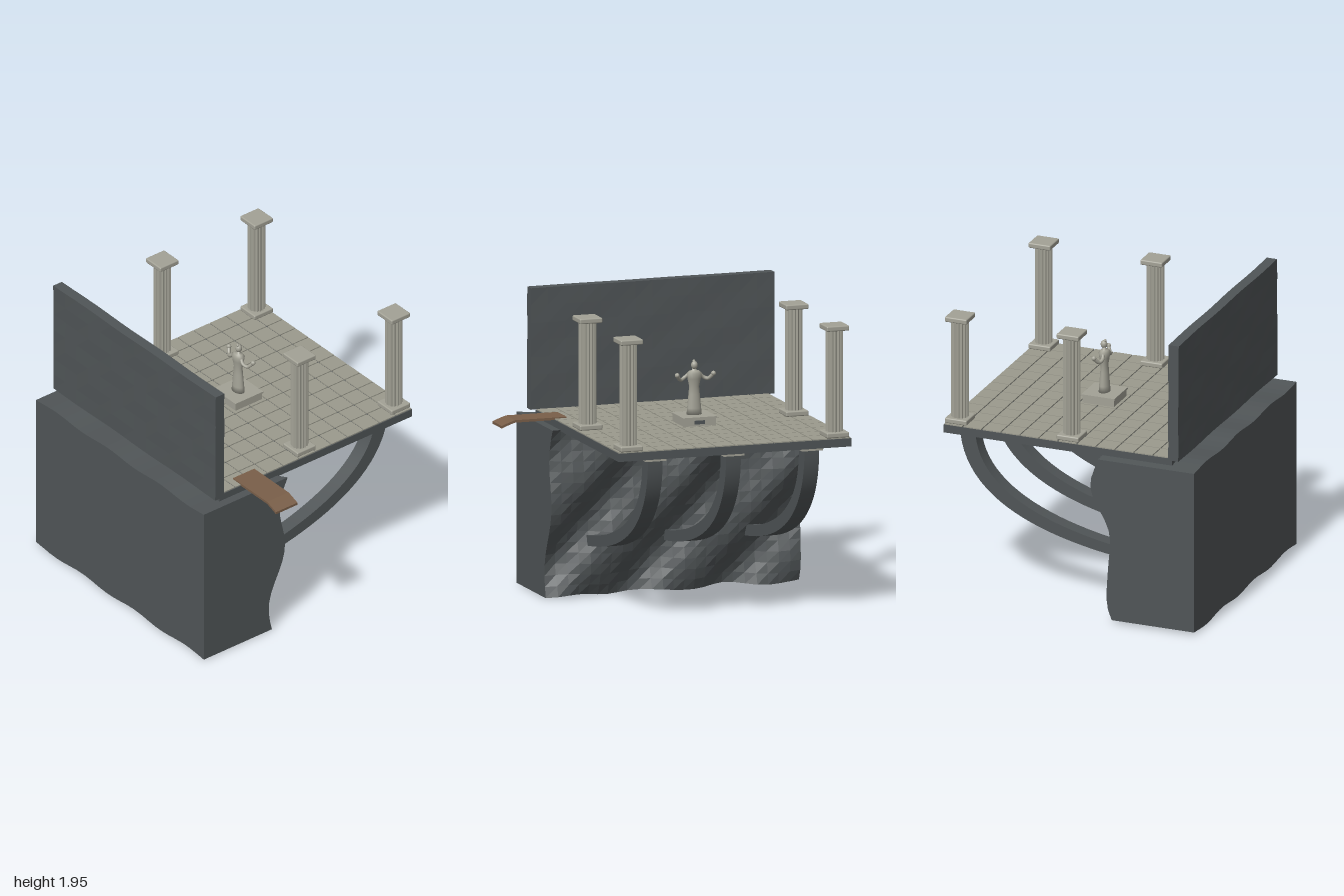
import * as THREE from 'three';
import { toCreasedNormals } from 'three/addons/utils/BufferGeometryUtils.js';
import { RoundedBoxGeometry } from 'three/addons/geometries/RoundedBoxGeometry.js';

const mat = (name, color) => {
  const m = new THREE.MeshStandardMaterial({ color });
  m.name = name;
  return m;
};

export function createModel() {
  const rock = mat('dark rock', 0x505557);
  const stone = mat('floor stone', 0x9b9a8d);
  const marble = mat('pale stone', 0xa3a296);
  const wood = mat('wood', 0x7a5f49);

  const model = new THREE.Group();
  model.name = 'cliffTerrace';

  const add = (parent, name, geometry, material, x = 0, y = 0, z = 0) => {
    const mesh = new THREE.Mesh(geometry, material);
    mesh.name = name;
    mesh.position.set(x, y, z);
    parent.add(mesh);
    return mesh;
  };
  const group = (name, x = 0, y = 0, z = 0) => {
    const g = new THREE.Group();
    g.name = name;
    g.position.set(x, y, z);
    model.add(g);
    return g;
  };
  // Box given by its limits
  const block = (parent, name, material, x0, x1, y0, y1, z0, z1) =>
    add(parent, name, new THREE.BoxGeometry(x1 - x0, y1 - y0, z1 - z0), material,
      (x0 + x1) / 2, (y0 + y1) / 2, (z0 + z1) / 2);
  // Move every vertex by a rule, then facet the surface
  const reshape = (geometry, rule) => {
    const p = geometry.attributes.position;
    const v = new THREE.Vector3();
    for (let i = 0; i < p.count; i++) {
      v.fromBufferAttribute(p, i);
      rule(v);
      p.setXYZ(i, v.x, v.y, v.z);
    }
    const flat = geometry.toNonIndexed();
    flat.computeVertexNormals();
    return flat;
  };

  // Cliff: flat front and sides, rippled top and bottom, craggy back
  const cliff = new THREE.BoxGeometry(1.71, 1.1, 0.6, 24, 16, 1);
  cliff.translate(-0.145, 0.55, 0.58);
  add(model, 'cliff', reshape(cliff, (v) => {
    const k = v.y / 1.1;
    const ripple = Math.cos(11.9 * v.x);
    if (v.z < 0.5) {
      const u = v.x - 0.71;
      v.z = 0.33 - 0.125 * v.y
        + 0.042 * Math.cos(8.7 * (v.y - 0.2) + 9 * u)
        + 0.014 * Math.sin(19 * u) * Math.cos(14 * v.y);
    }
    v.y = THREE.MathUtils.lerp(0.011 + 0.01 * ripple, 1.112 - 0.008 * ripple, k);
  }), rock);

  // Upright wall with a faintly uneven face
  const wall = new THREE.BoxGeometry(1.65, 0.79, 0.07, 14, 7, 1);
  wall.translate(-0.145, 1.555, 0.725);
  add(model, 'wall', reshape(wall, (v) => {
    v.z += 0.003 * Math.sin(9 * v.x + 7 * v.y) * Math.cos(11 * v.y);
  }), rock);

  // Terrace slab and its paving
  const x0 = -0.932, z0 = -0.877, step = 0.1313, gap = 0.004;
  block(model, 'slab', rock, x0, 0.645, 1.103, 1.156, z0, 0.7);
  const tiles = group('floorTiles');
  for (let i = 0; i < 12; i++) {
    for (let j = 0; j < 12; j++) {
      const x = x0 + i * step, z = z0 + j * step;
      block(tiles, 'tile', stone, x + gap, x + step - gap, 1.15, 1.163, z + gap, z + step - gap);
    }
  }

  // Fluted columns on square plinths
  const shaft = reshape(new THREE.CylinderGeometry(0.057, 0.057, 0.68, 64, 1, true), (v) => {
    const a = Math.atan2(v.z, v.x);
    const s = 1 - 0.13 * Math.abs(Math.cos(8 * a)) ** 1.5;
    v.x *= s;
    v.z *= s;
  });
  const plate = new RoundedBoxGeometry(0.152, 0.034, 0.152, 2, 0.008);
  for (const x of [-0.843, 0.553]) {
    for (const z of [-0.8, -0.028]) {
      const column = group('column', x, 1.163, z);
      add(column, 'base', plate, marble, 0, 0.017);
      add(column, 'shaft', shaft, marble, 0, 0.365);
      add(column, 'capital', plate, marble, 0, 0.709);
    }
  }

  // Curved struts between the cliff and the slab, thickening upwards
  const arc = new THREE.CubicBezierCurve(
    new THREE.Vector2(-0.36, 0.36), new THREE.Vector2(0.25, 0.43),
    new THREE.Vector2(0.8, 0.62), new THREE.Vector2(0.797, 1.09));
  const inner = [], outer = [];
  for (let i = 0; i <= 24; i++) {
    const t = i / 24;
    const p = arc.getPoint(t), d = arc.getTangent(t);
    const n = new THREE.Vector2(-d.y, d.x).multiplyScalar(0.033 + 0.02 * t);
    inner.push(p.clone().add(n));
    outer.push(p.clone().sub(n));
  }
  const strutGeometry = toCreasedNormals(new THREE.ExtrudeGeometry(
    new THREE.Shape([...outer, ...inner.reverse()]),
    { depth: 0.1, bevelEnabled: false }), 0.6);
  strutGeometry.translate(0, 0, -0.05);
  strutGeometry.rotateY(Math.PI / 2);
  for (const x of [-0.673, -0.143, 0.387]) {
    add(model, 'strut', strutGeometry, rock, x);
    block(model, 'strutPad', marble, x - 0.07, x + 0.07, 1.088, 1.104, -0.865, -0.725);
  }

  // Wooden plank, drooping at its outer end
  const top = [[0.56, 1.17], [0.91, 1.17], [0.95, 1.157], [1.0, 1.138]];
  const under = top.map(([x, y]) => [x, y - 0.016]).reverse();
  const plank = new THREE.ExtrudeGeometry(
    new THREE.Shape([...under.reverse(), ...top.slice().reverse()].map(([x, y]) => new THREE.Vector2(x, y))),
    { depth: 0.175, bevelEnabled: false });
  add(model, 'plank', plank, wood, 0, 0, 0.347);

  // Pedestal with a small plaque
  const statue = group('statue', -0.147, 1.163, -0.09);
  block(statue, 'pedestal', marble, -0.108, 0.108, 0, 0.048, -0.108, 0.108);
  block(statue, 'pedestalTop', marble, -0.114, 0.114, 0.046, 0.058, -0.114, 0.114);
  block(statue, 'plaque', rock, -0.035, 0.035, 0.012, 0.036, -0.112, -0.107);

  // Robed figure with open arms, facing the terrace edge
  const profile = [[0, 0.055], [0.046, 0.055], [0.042, 0.1], [0.034, 0.19], [0.03, 0.24],
    [0.04, 0.29], [0.046, 0.325], [0.03, 0.34], [0.013, 0.346], [0.012, 0.36], [0, 0.362]];
  const robe = add(statue, 'robe', new THREE.LatheGeometry(
    profile.map(([r, y]) => new THREE.Vector2(r, y)), 20), marble);
  robe.scale.set(1.1, 1, 0.78);
  add(statue, 'head', new THREE.SphereGeometry(0.022, 14, 10), marble, 0, 0.377, -0.004).scale.y = 1.2;
  add(statue, 'hairKnot', new THREE.SphereGeometry(0.01, 10, 8), marble, 0, 0.402, 0.004);
  for (const s of [-1, 1]) {
    const path = new THREE.CatmullRomCurve3([
      new THREE.Vector3(s * 0.035, 0.322, 0.004), new THREE.Vector3(s * 0.065, 0.295, 0.012),
      new THREE.Vector3(s * 0.092, 0.285, 0), new THREE.Vector3(s * 0.122, 0.315, -0.022)]);
    add(statue, 'arm', new THREE.TubeGeometry(path, 12, 0.012, 8), marble);
    add(statue, 'hand', new THREE.SphereGeometry(0.016, 10, 8), marble, s * 0.123, 0.32, -0.023);
  }

  return model;
}
